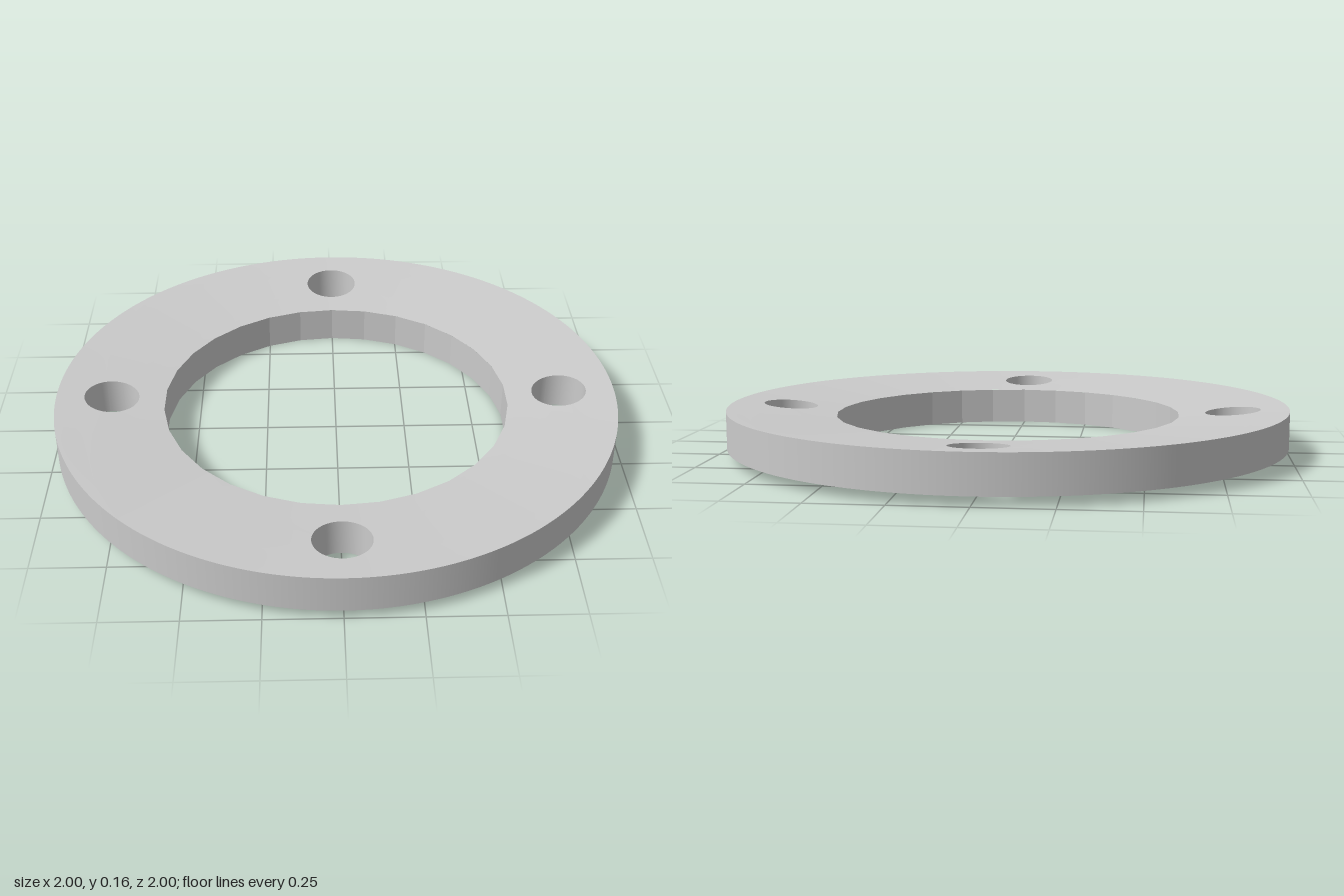
import * as THREE from 'three';

const OUTER = 1, APOTHEM = 0.613, THICK = 0.131, RISE = 0.032;
const HOLE_AT = 0.805, HOLE_R = 0.097, SIDES = 30;
const RAD = Math.PI / 180;

// Shallow cone: the plate rises from the bore to the rim
const cone = r => RISE * Math.max(0, (r - APOTHEM) / (OUTER - APOTHEM));

// Radius of the 30-sided bore at an angle
function boreRadius(a) {
  const step = 2 * Math.PI / SIDES;
  return APOTHEM / Math.cos(a - Math.round(a / step) * step);
}

// Skin a list of closed loops with equal point counts
function skin(rows) {
  const n = rows[0].length, index = [];
  for (let j = 0; j < rows.length - 1; j++) {
    for (let i = 0; i < n; i++) {
      const k = (i + 1) % n;
      const a = j * n + i, b = a + n, c = (j + 1) * n + k, d = j * n + k;
      index.push(a, b, c, a, c, d);
    }
  }
  const geo = new THREE.BufferGeometry();
  geo.setAttribute('position', new THREE.Float32BufferAttribute(rows.flat(2), 3));
  geo.setIndex(index);
  geo.computeVertexNormals();
  return geo;
}

// Quarter outline as [angle, radius]: bore arc, side, rim arc, side
function quarterOutline(base) {
  const pts = [], arc = 60, side = 8, half = Math.PI / 4;
  const inner = a => boreRadius(base + a);
  const lerp = THREE.MathUtils.lerp;
  for (let i = 0; i < arc; i++) {
    const a = -half + i * 1.5 * RAD;
    pts.push([a, inner(a)]);
  }
  for (let i = 0; i < side; i++) pts.push([half, lerp(inner(half), OUTER, i / side)]);
  for (let i = 0; i < arc; i++) pts.push([half - i * 1.5 * RAD, OUTER]);
  for (let i = 0; i < side; i++) pts.push([-half, lerp(OUTER, inner(-half), i / side)]);
  return pts;
}

// Loops running from the bolt hole (t = 0) to the quarter outline (t = 1)
function quarterRows(base, lift, steps = 4) {
  const outline = quarterOutline(base);
  const hole = outline.map(([a, r]) => {
    const phi = Math.atan2(a * HOLE_AT, r - HOLE_AT);
    const x = HOLE_AT + HOLE_R * Math.cos(phi), z = HOLE_R * Math.sin(phi);
    return [Math.atan2(z, x), Math.hypot(x, z)];
  });
  const rows = [];
  for (let s = 0; s <= steps; s++) {
    const t = s / steps;
    rows.push(outline.map(([a, r], i) => {
      const ang = base + THREE.MathUtils.lerp(hole[i][0], a, t);
      const rad = THREE.MathUtils.lerp(hole[i][1], r, t);
      return [rad * Math.cos(ang), cone(rad) + lift, rad * Math.sin(ang)];
    }));
  }
  return rows;
}

export function createModel() {
  const group = new THREE.Group();
  group.name = 'flangeRing';
  const smooth = new THREE.MeshStandardMaterial({ color: 0xcccccc });
  const flat = new THREE.MeshStandardMaterial({ color: 0xcccccc, flatShading: true });
  const add = (name, geo, mat) => {
    const mesh = new THREE.Mesh(geo, mat);
    mesh.name = name;
    group.add(mesh);
  };

  // Four quarters, each with one bolt hole
  for (let q = 0; q < 4; q++) {
    const base = q * Math.PI / 2;
    const top = quarterRows(base, THICK), bottom = quarterRows(base, 0);
    add('topFace', skin(top), smooth);
    add('boltHoleWall', skin([bottom[0], top[0]]), smooth);
    add('bottomFace', skin(bottom.reverse()), smooth);
  }

  // Smooth outer rim
  const v = (x, y) => new THREE.Vector2(x, y);
  add('outerRim', new THREE.LatheGeometry(
    [v(OUTER, RISE), v(OUTER, RISE + THICK)], 240), smooth);

  // Faceted bore wall, facing inward
  const bore = APOTHEM / Math.cos(Math.PI / SIDES);
  add('boreWall', new THREE.LatheGeometry(
    [v(bore, THICK), v(bore, 0)], SIDES), flat);

  return group;
}
